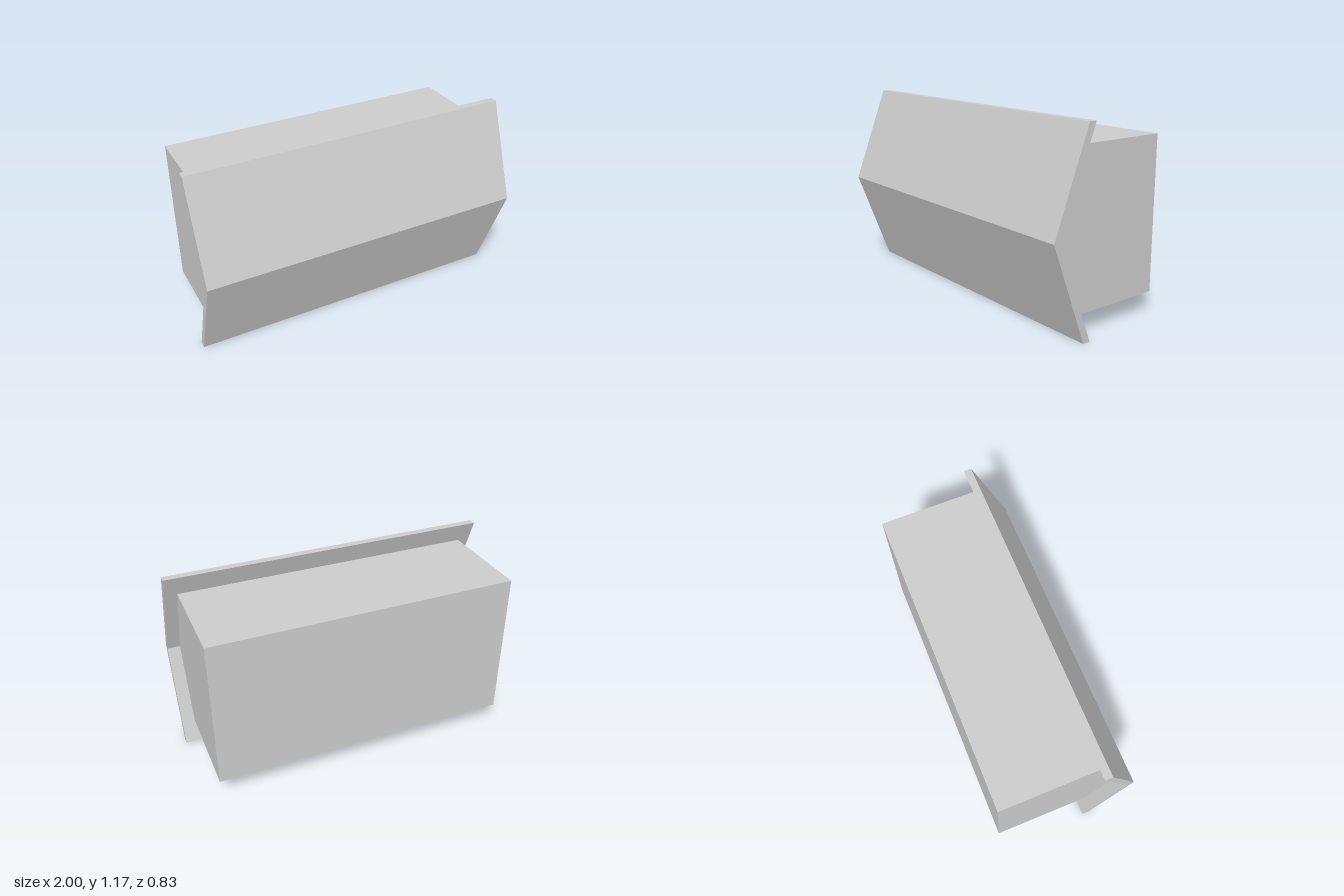
import * as THREE from 'three';

// Extrudes a side profile of [z, y] points along x, centred on x = 0
function extrudeAlongX(name, profile, width) {
  const shape = new THREE.Shape(profile.map(([z, y]) => new THREE.Vector2(z, y)));
  const geometry = new THREE.ExtrudeGeometry(shape, { depth: width, bevelEnabled: false });
  geometry.translate(0, 0, -width / 2);
  geometry.rotateY(-Math.PI / 2);
  const material = new THREE.MeshStandardMaterial({ color: 0xcccccc, flatShading: true });
  const mesh = new THREE.Mesh(geometry, material);
  mesh.name = name;
  return mesh;
}

export function createModel() {
  const height = 1.172, mid = height / 2;
  const front = 0.415, edge = 0.192, thickness = 0.046;
  const bodyHalf = 0.46;
  const inner = front - thickness;
  // Where the body meets the sloping back of the panel
  const joint = inner - (front - edge) * (bodyHalf / mid);

  const model = new THREE.Group();
  model.name = 'gabledBlock';

  // Block with a pointed front
  model.add(extrudeAlongX('body', [
    [-front, mid - bodyHalf], [joint, mid - bodyHalf], [inner, mid],
    [joint, mid + bodyHalf], [-front, mid + bodyHalf],
  ], 1.845));

  // Folded panel covering the point and overhanging on every side
  model.add(extrudeAlongX('foldedPanel', [
    [edge, 0], [front, mid], [edge, height],
    [edge - thickness, height], [inner, mid], [edge - thickness, 0],
  ], 2));

  return model;
}
